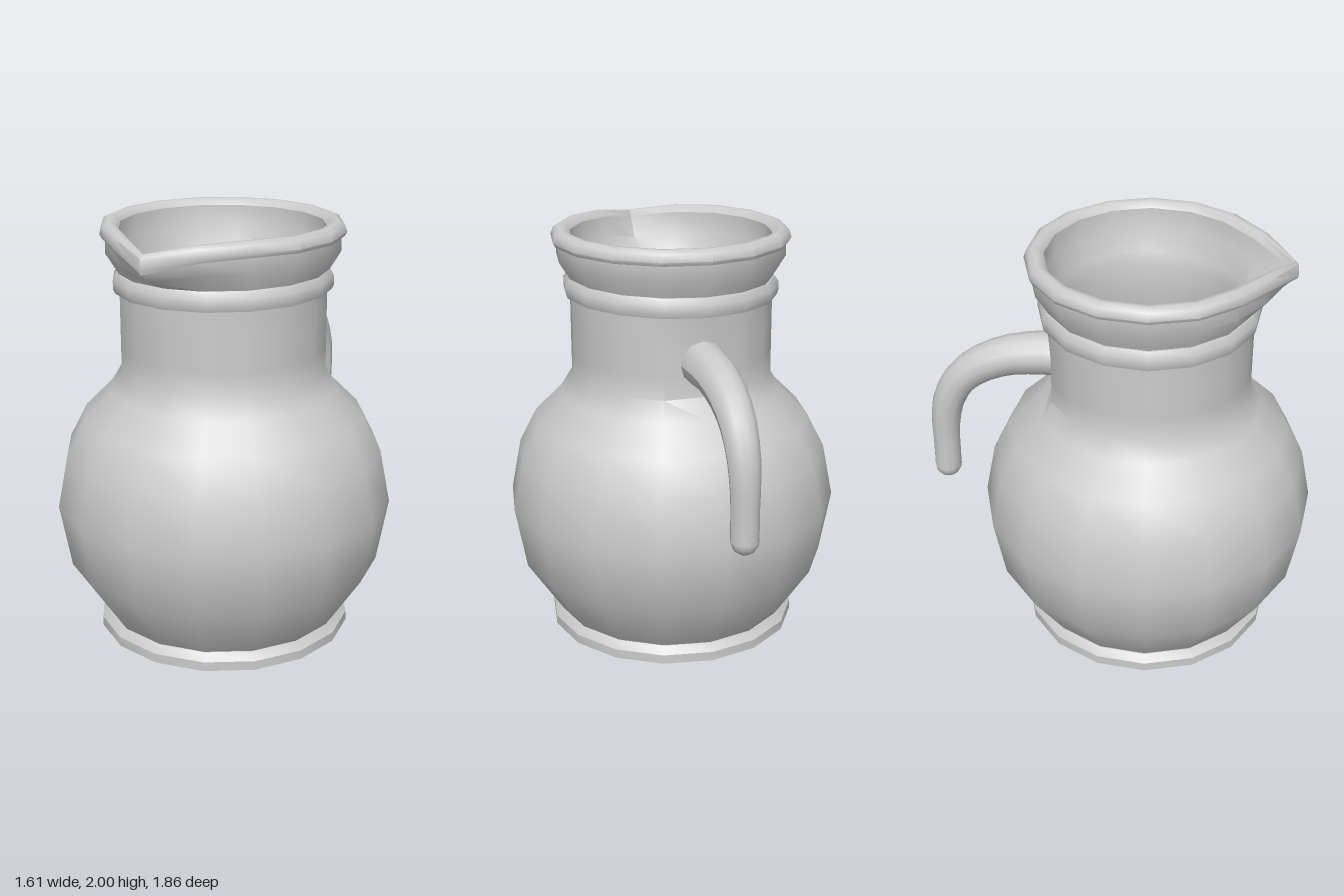
import * as THREE from 'three';
import { toCreasedNormals } from 'three/addons/utils/BufferGeometryUtils.js';

const SIDES = 16;
const AXIS_Z = 0.125; // the pot sits forward so that the handle balances it

const material = new THREE.MeshStandardMaterial({ color: 0xcccccc });

// Turned part; an optional rule moves its vertices before the edges are creased
function turned(name, profile, crease = 0.7, rule = null) {
  const points = profile.map(([r, y]) => new THREE.Vector2(r, y));
  const geometry = new THREE.LatheGeometry(points, SIDES);
  if (rule) {
    const pos = geometry.attributes.position;
    const v = new THREE.Vector3();
    for (let i = 0; i < pos.count; i++) {
      rule(v.fromBufferAttribute(pos, i));
      pos.setXYZ(i, v.x, v.y, v.z);
    }
  }
  const mesh = new THREE.Mesh(toCreasedNormals(geometry, crease), material);
  mesh.name = name;
  mesh.position.z = AXIS_Z;
  return mesh;
}

// Pulls the front of the rim out and down into a pointed spout
function pullSpout(v) {
  const r = Math.hypot(v.x, v.z);
  if (r < 0.1) return;
  const side = Math.max(0, 1 - Math.abs(Math.atan2(v.x, v.z)) / (Math.PI / 4));
  const height = THREE.MathUtils.clamp((v.y - 1.77) / 0.16, 0, 1);
  const pull = side * side * height;
  v.z += pull * Math.min(0.145, 0.1 + 0.5 * (0.57 - r));
  v.y -= pull * (v.y > 1.96 ? 0.05 : 0.07);
}

// Flattens the back of the neck a little where the handle joins
function flattenBack(v) {
  if (v.y > 1.25 && v.y < 1.65 && v.z < -0.455) v.z = -0.455;
}

// Tapered, rounded tube that bends down behind the pot
function makeHandle() {
  const group = new THREE.Group();
  group.name = 'handle';
  const path = [
    [-0.30, 1.45], [-0.42, 1.447], [-0.53, 1.435], [-0.66, 1.388], [-0.765, 1.31],
    [-0.835, 1.185], [-0.86, 1.05], [-0.863, 0.92], [-0.865, 0.80],
  ].map(([z, y]) => new THREE.Vector3(0, y, z));
  const curve = new THREE.CatmullRomCurve3(path);
  const rings = 14, sides = 12, endRadius = 0.065;
  const geometry = new THREE.TubeGeometry(curve, rings, 1, sides);
  const pos = geometry.attributes.position;
  const v = new THREE.Vector3();
  for (let i = 0; i < pos.count; i++) {
    const t = Math.floor(i / (sides + 1)) / rings;
    const centre = curve.getPointAt(t);
    const radius = THREE.MathUtils.lerp(0.108, endRadius, Math.min(1, t * 1.2));
    v.fromBufferAttribute(pos, i).sub(centre).multiplyScalar(radius).add(centre);
    pos.setXYZ(i, v.x, v.y, v.z);
  }
  geometry.computeVertexNormals();
  const grip = new THREE.Mesh(geometry, material);
  grip.name = 'handleGrip';
  const tip = new THREE.Mesh(new THREE.SphereGeometry(endRadius, sides, 8), material);
  tip.name = 'handleTip';
  tip.position.copy(path[path.length - 1]);
  group.add(grip, tip);
  return group;
}

export function createModel() {
  const jug = new THREE.Group();
  jug.name = 'jug';

  // Foot ring with a flat underside
  jug.add(turned('foot', [
    [0, 0], [0.612, 0], [0.612, 0.045], [0.58, 0.08], [0.5, 0.08],
  ]));

  // Round belly running up into the neck
  jug.add(turned('body', [
    [0.56, 0.06], [0.575, 0.08], [0.75, 0.345], [0.805, 0.65], [0.755, 0.905],
    [0.67, 1.07], [0.54, 1.2], [0.485, 1.29], [0.485, 1.4], [0.485, 1.55], [0.485, 1.72],
  ], 0.7, flattenBack));

  // Collar, set on slightly askew
  const collar = turned('collar', [
    [0.47, 1.68], [0.508, 1.68], [0.515, 1.7], [0.515, 1.74], [0.495, 1.77], [0.45, 1.77],
  ]);
  collar.rotation.z = 0.015;
  collar.position.x = 0.026;
  jug.add(collar);

  // Flared mouth below the lip
  jug.add(turned('mouth', [
    [0.485, 1.75], [0.49, 1.77], [0.545, 1.86], [0.545, 1.935],
  ], 0.7, pullSpout));

  // Rolled lip
  jug.add(turned('lip', [
    [0.53, 1.93], [0.56, 1.932], [0.57, 1.95], [0.558, 1.985], [0.53, 2.0], [0.505, 1.998], [0.48, 1.97],
  ], 0.9, pullSpout));

  // Inner wall and floor
  jug.add(turned('interior', [
    [0.48, 1.97], [0.475, 1.87], [0.43, 1.77], [0.41, 1.7], [0.41, 1.3], [0.6, 1.06],
    [0.69, 0.9], [0.735, 0.65], [0.68, 0.36], [0.5, 0.11], [0, 0.1],
  ], 1.0, pullSpout));

  jug.add(makeHandle());
  return jug;
}
